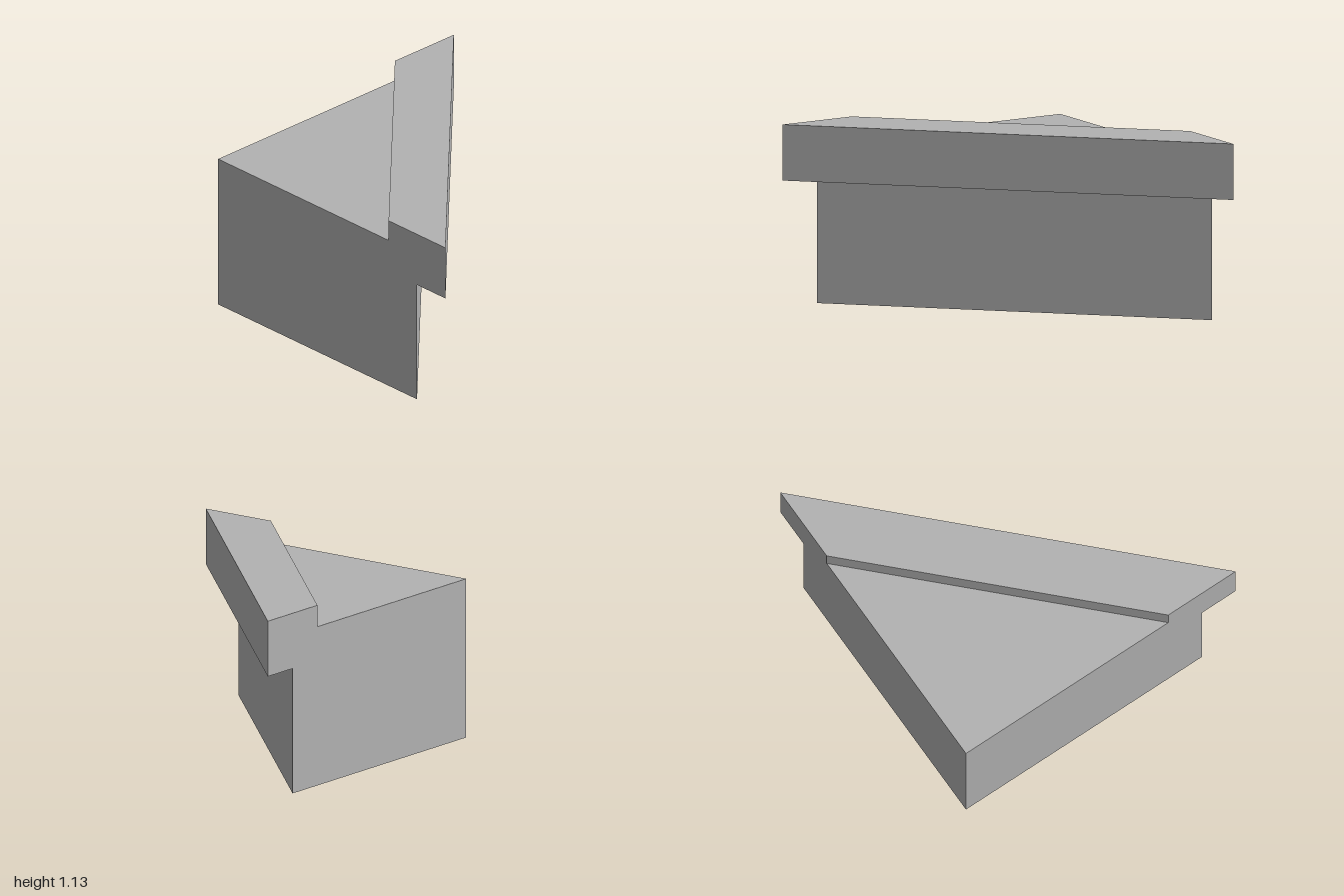
import * as THREE from 'three';

export function createModel() {
  const model = new THREE.Group();
  model.name = 'cornerBlock';
  const stone = new THREE.MeshStandardMaterial({ color: 0xb2b2b2 });
  stone.name = 'grey';

  const add = (name, geometry) => {
    const mesh = new THREE.Mesh(geometry, stone);
    mesh.name = name;
    model.add(mesh);
  };

  // Side profile, counterclockwise, starting at the square corner
  const profile = [
    [-1, 0], [0.75, 0], [0.75, 0.787], [1, 0.787],
    [1, 1.135], [0.5, 1.135], [0.5, 1], [-1, 1],
  ];
  const outline = (sign) => new THREE.ShapeGeometry(
    new THREE.Shape(profile.map(([x, y]) => new THREE.Vector2(sign * x, y))));

  // Two upright walls meeting at the square corner
  add('backWall', outline(-1).rotateY(Math.PI).translate(0, 0, -1));
  add('sideWall', outline(1).rotateY(-Math.PI / 2).translate(-1, 0, 0));

  // Each profile edge spans diagonally from the back wall to the side wall
  const names = ['base', 'frontWall', 'ledgeUnderside', 'ledgeFront',
    'ledgeTop', 'ledgeBack', 'roof'];
  names.forEach((name, i) => {
    const [ax, ay] = profile[i];
    const [bx, by] = profile[i + 1];
    const a = [ax, ay, -1], b = [bx, by, -1];
    const a2 = [-1, ay, ax], b2 = [-1, by, bx];
    const triangles = [];
    if (bx > -1) triangles.push(...a, ...b, ...b2); // edges at the corner need one triangle only
    if (ax > -1) triangles.push(...a, ...b2, ...a2);
    const geometry = new THREE.BufferGeometry();
    geometry.setAttribute('position', new THREE.Float32BufferAttribute(triangles, 3));
    geometry.computeVertexNormals();
    add(name, geometry);
  });

  return model;
}
